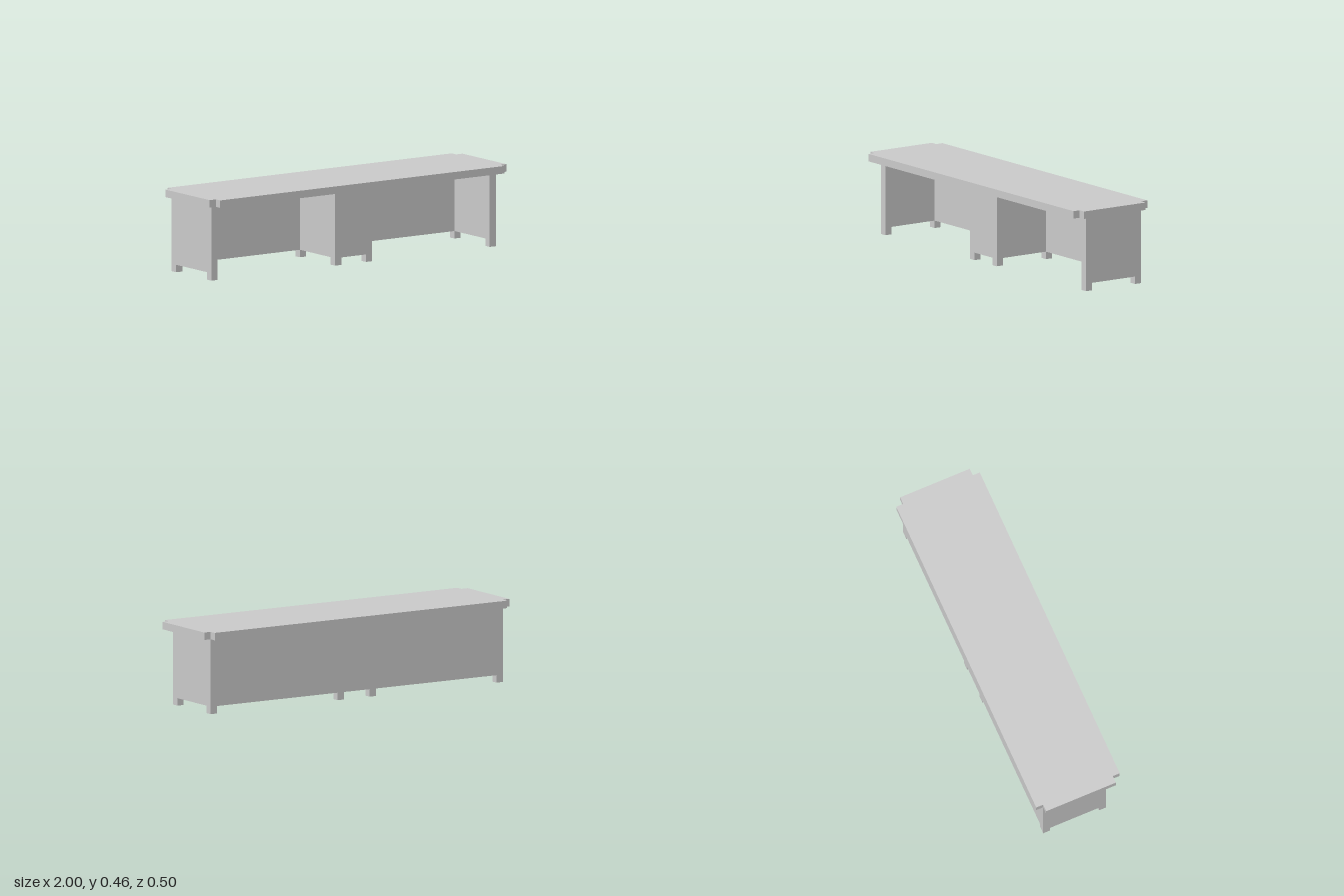
import * as THREE from 'three';

const U = 1 / 24; // module: every size is a whole number of these

export function createModel() {
  const group = new THREE.Group();
  const material = new THREE.MeshStandardMaterial({ color: 0xcccccc, flatShading: true });

  const add = (name, geometry) => {
    const mesh = new THREE.Mesh(geometry, material);
    mesh.name = name;
    group.add(mesh);
    return mesh;
  };

  // Box between two corners, in modules
  const box = (name, x0, x1, y0, y1, z0, z1) => {
    const mesh = add(name, new THREE.BoxGeometry((x1 - x0) * U, (y1 - y0) * U, (z1 - z0) * U));
    mesh.position.set((x0 + x1) / 2, (y0 + y1) / 2, (z0 + z1) / 2).multiplyScalar(U);
  };

  // Table top: slab with a square notch at each corner
  const outline = [
    [-24, -5], [-23, -5], [-23, -6], [23, -6], [23, -5], [24, -5],
    [24, 5], [23, 5], [23, 6], [-23, 6], [-23, 5], [-24, 5],
  ].map(([x, y]) => new THREE.Vector2(x * U, y * U));
  const top = new THREE.ExtrudeGeometry(new THREE.Shape(outline), { depth: U, bevelEnabled: false });
  top.rotateX(-Math.PI / 2);
  add('tableTop', top).position.y = 10 * U;

  // End panel: flat bottom raised between a front and a back foot
  const profile = [
    [-5, 0], [-4, 0], [-4, 1], [3, 1], [3, 0], [4, 0], [4, 10], [-5, 10],
  ].map(([z, y]) => new THREE.Vector2(-z * U, y * U));
  const panel = new THREE.ExtrudeGeometry(new THREE.Shape(profile), { depth: U, bevelEnabled: false });
  panel.rotateY(Math.PI / 2);
  add('leftEndPanel', panel).position.x = 22 * U;
  add('rightEndPanel', panel).position.x = -23 * U;

  // Solid centre cabinet with four feet, and the back panels either side of it
  box('centreCabinet', -3, 3, 1, 10, -5, 4);
  for (const x of [-3, 2]) {
    box('cabinetFrontFoot', x, x + 1, 0, 1, 3, 4);
    box('cabinetBackFoot', x, x + 1, 0, 1, -5, -4);
  }
  box('leftBackPanel', 3, 22, 1, 10, -5, -4);
  box('rightBackPanel', -22, -3, 1, 10, -5, -4);

  return group;
}
